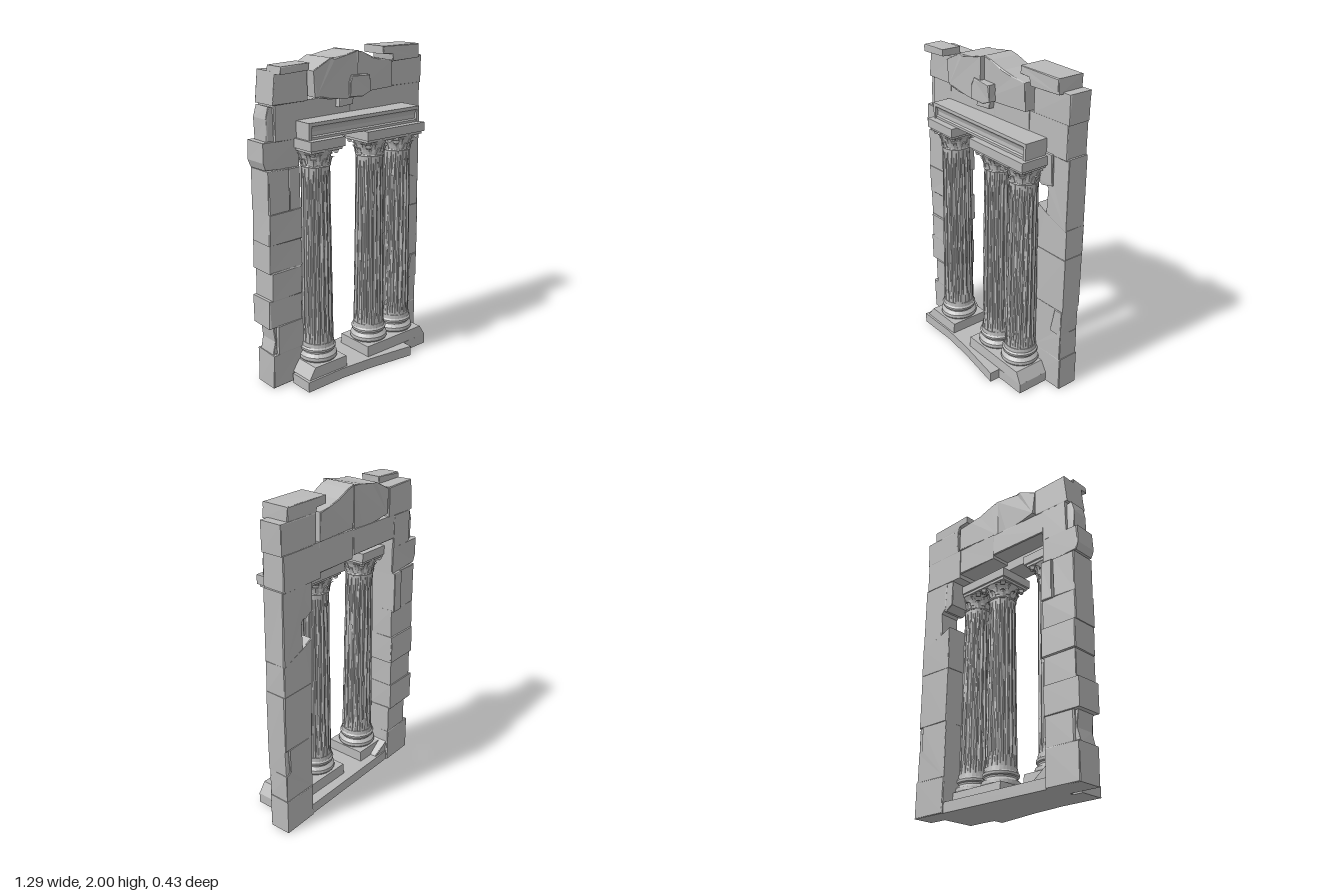
import * as THREE from 'three';

const stoneGrey = new THREE.MeshStandardMaterial({ color: 0xbababa, flatShading: true });
stoneGrey.name = 'stone grey';

function add(parent, geometry, name, x = 0, y = 0, z = 0) {
  const mesh = new THREE.Mesh(geometry, stoneGrey);
  mesh.name = name;
  mesh.position.set(x, y, z);
  parent.add(mesh);
  return mesh;
}

// Repeatable noise in -1..1; equal corners always move together
function noise(x, y, z, k) {
  const s = Math.sin(x * 127.1 + y * 311.7 + z * 74.7 + k * 53.3) * 4375.85;
  return (s - Math.floor(s)) * 2 - 1;
}

function moveVertices(geometry, rule) {
  const p = geometry.attributes.position;
  const v = new THREE.Vector3();
  for (let i = 0; i < p.count; i++) {
    rule(v.fromBufferAttribute(p, i));
    p.setXYZ(i, v.x, v.y, v.z);
  }
  geometry.computeVertexNormals();
  return geometry;
}

// Hewn stone: an outline in x/y given a depth, with worn edges and uneven corners
function hewn(parent, name, outline, z0, z1, bend = 0, rough = 0.003) {
  const b = 0.004;
  const shape = new THREE.Shape(outline.map(([x, y]) => new THREE.Vector2(x, y)));
  const g = new THREE.ExtrudeGeometry(shape, {
    depth: z1 - z0 - 2 * b, bevelEnabled: true, bevelSize: b, bevelThickness: b, bevelOffset: -b, bevelSegments: 1,
  });
  g.translate(0, 0, z0 + b);
  moveVertices(g, (v) => {
    const [a, c, d] = [v.x, v.y, v.z].map((n) => Math.round(n * 1000) / 1000);
    v.x += noise(a, c, d, 1) * rough;
    if (c > 0.01) v.y += noise(a, c, d, 2) * rough * 0.7;
    v.z += noise(a, c, d, 3) * rough - a * bend;
  });
  return add(parent, g, name);
}

const rect = (x0, x1, y0, y1) => [[x0, y0], [x1, y0], [x1, y1], [x0, y1]];

// Wall stones follow the slight skew of the wall
const wall = (parent, name, outline, z0 = -0.19, z1 = -0.04) => hewn(parent, name, outline, z0, z1, 0.035);

// Block whose left and right sides can splay out towards the bottom
function splayedBlock(w, h, d, left, right) {
  return moveVertices(new THREE.BoxGeometry(w, h, d), (v) => {
    if (v.y < 0) v.x += v.x < 0 ? -left : right;
    else v.z *= 0.96;
  });
}

// Leaf curling outward, standing against the bell of a capital
function leaf(width, height, curl) {
  return moveVertices(new THREE.BoxGeometry(width, height, 0.012, 2, 4, 1), (v) => {
    const t = v.y / height + 0.5;
    v.z += curl * t * t - Math.abs(v.x) * 0.3;
    v.x *= 1 - 0.55 * t * t;
    if (t > 0.99) v.y -= 0.012;
  });
}

function createColumn(name, seed, splayLeft, splayRight) {
  const column = new THREE.Group();
  column.name = name;
  add(column, splayedBlock(0.245, 0.07, 0.27, splayLeft, splayRight), 'plinth', 0, 0.1, 0);

  // Moulded base
  const base = [[0, 0.13], [0.112, 0.13], [0.12, 0.145], [0.118, 0.165], [0.108, 0.175], [0.098, 0.185],
    [0.1, 0.195], [0.11, 0.2], [0.112, 0.215], [0.103, 0.225], [0.1, 0.25], [0, 0.25]];
  add(column, new THREE.LatheGeometry(base.map(([r, y]) => new THREE.Vector2(r, y)), 28), 'mouldedBase');

  // Fluted and weathered shaft
  const steps = 18 * 4;
  const shaft = new THREE.CylinderGeometry(0.087, 0.099, 1.13, steps, 10);
  moveVertices(shaft, (v) => {
    const r = Math.hypot(v.x, v.z);
    if (r < 0.01) return;
    const step = Math.round((Math.atan2(v.z, v.x) / (Math.PI * 2)) * steps + steps) % steps;
    const end = Math.abs(v.y) > 0.55;
    const wear = noise(step, Math.round(v.y * 100), seed, 4) * 0.02;
    const k = end ? 0.98 : (step % 4 < 2 ? 0.985 + wear : 0.9 + wear * 0.5);
    v.x *= k;
    v.z *= k;
  });
  add(column, shaft, 'flutedShaft', 0, 0.8, 0);

  // Capital: collar, bell, two rows of leaves and corner scrolls
  const collar = add(column, new THREE.TorusGeometry(0.084, 0.008, 6, 28), 'collar', 0, 1.365, 0);
  collar.rotation.x = Math.PI / 2;
  const bell = [[0, 1.35], [0.084, 1.35], [0.085, 1.39], [0.093, 1.43], [0.112, 1.465], [0, 1.465]];
  add(column, new THREE.LatheGeometry(bell.map(([r, y]) => new THREE.Vector2(r, y)), 24), 'bell');
  for (let i = 0; i < 16; i++) {
    const upper = i % 2;
    const pivot = new THREE.Group();
    pivot.name = upper ? 'upperLeaf' : 'lowerLeaf';
    pivot.rotation.y = (i / 16) * Math.PI * 2;
    add(pivot, leaf(0.042, upper ? 0.07 : 0.06, upper ? 0.026 : 0.02), 'leaf', 0, upper ? 1.42 : 1.395, 0.085);
    column.add(pivot);
  }
  for (let i = 0; i < 4; i++) {
    const pivot = new THREE.Group();
    pivot.name = 'cornerScroll';
    pivot.rotation.y = Math.PI / 4 + (i * Math.PI) / 2;
    const scroll = add(pivot, new THREE.CylinderGeometry(0.015, 0.015, 0.03, 10), 'scroll', 0, 1.45, 0.122);
    scroll.rotation.z = Math.PI / 2;
    column.add(pivot);
  }
  add(column, new THREE.BoxGeometry(0.225, 0.02, 0.22), 'abacusUnderside', 0, 1.468, 0);
  add(column, new THREE.BoxGeometry(0.25, 0.056, 0.245), 'abacus', 0, 1.503, 0);
  return column;
}

export function createModel() {
  const model = new THREE.Group();
  model.name = 'ruinedColumnGateway';

  // Floor slab with a skewed front edge
  const plan = [[-0.485, 0.16], [-0.22, 0.155], [0, 0.172], [0.32, 0.217], [0.32, 0.15], [0.42, 0.14], [0.42, -0.195], [-0.42, -0.175], [-0.42, 0], [-0.485, 0]];
  const slab = new THREE.ExtrudeGeometry(new THREE.Shape(plan.map(([x, z]) => new THREE.Vector2(x, -z))), { depth: 0.066, bevelEnabled: false });
  slab.rotateX(-Math.PI / 2);
  add(model, slab, 'floorSlab');
  hewn(model, 'rubbleWedge', [[-0.4, 0.05], [-0.27, 0.05], [-0.29, 0.075], [-0.4, 0.15]], -0.17, -0.05);

  // Left pier, bottom to top: inner and outer x, bottom and top y, back z
  const leftPier = new THREE.Group();
  leftPier.name = 'leftPier';
  model.add(leftPier);
  [[-0.615, -0.385, 0, 0.222, -0.2], [-0.58, -0.385, 0.218, 0.405, -0.195], [-0.632, -0.39, 0.4, 0.577, -0.21],
    [-0.612, -0.39, 0.573, 0.752, -0.2], [-0.62, -0.38, 0.748, 0.927, -0.21], [-0.622, -0.385, 0.923, 1.112, -0.2],
    [-0.465, -0.385, 1.108, 1.362, -0.215], [-0.618, -0.467, 1.108, 1.365, -0.2], [-0.56, -0.385, 1.525, 1.737, -0.193]]
    .forEach(([x0, x1, y0, y1, back], i) => wall(leftPier, 'pierStone', rect(x0, x1, y0, y1), back, -0.035 + (i % 2) * 0.006));
  wall(leftPier, 'chippedStone', [[-0.61, 0.22], [-0.57, 0.22], [-0.57, 0.4], [-0.6, 0.4], [-0.59, 0.3]], -0.18, -0.05);
  wall(leftPier, 'overhangingStone', [[-0.63, 1.37], [-0.385, 1.355], [-0.385, 1.532], [-0.642, 1.532], [-0.648, 1.42]]);
  wall(leftPier, 'brokenStone', [[-0.605, 1.53], [-0.555, 1.53], [-0.55, 1.72], [-0.59, 1.73], [-0.61, 1.66]], -0.17, -0.05);
  wall(leftPier, 'topStone', [[-0.58, 1.735], [-0.33, 1.735], [-0.33, 1.915], [-0.56, 1.92]], -0.193, -0.02);
  hewn(leftPier, 'capStone', [[-0.562, 1.905], [-0.36, 1.915], [-0.358, 1.96], [-0.555, 1.95]], -0.08, 0.052);

  // Right pier, with a bite broken from its inner side
  const rightPier = new THREE.Group();
  rightPier.name = 'rightPier';
  model.add(rightPier);
  wall(rightPier, 'footStone', rect(0.4, 0.635, 0, 0.222), -0.188, -0.047);
  wall(rightPier, 'pierStone', [[0.4, 0.218], [0.632, 0.218], [0.632, 0.4], [0.6, 0.42], [0.61, 0.572], [0.4, 0.572]], -0.185, -0.047);
  wall(rightPier, 'chippedStone', [[0.545, 0.4], [0.632, 0.4], [0.635, 0.57], [0.58, 0.57]], -0.18, -0.042);
  wall(rightPier, 'pierStone', rect(0.4, 0.638, 0.568, 0.927), -0.186, -0.045);
  wall(rightPier, 'slopingStone', [[0.4, 0.923], [0.636, 0.923], [0.636, 1.115], [0.46, 1.18], [0.4, 1.21]], -0.186, -0.047);
  wall(rightPier, 'upperStone', [[0.47, 1.17], [0.636, 1.105], [0.636, 1.55], [0.44, 1.55], [0.45, 1.36], [0.48, 1.33]], -0.186, -0.045);
  wall(rightPier, 'innerStone', [[0.385, 1.37], [0.44, 1.34], [0.52, 1.36], [0.52, 1.55], [0.385, 1.55]], -0.182, -0.035);
  wall(rightPier, 'topStone', rect(0.35, 0.632, 1.745, 1.92), -0.188, -0.04);
  hewn(rightPier, 'capStone', [[0.35, 1.9], [0.575, 1.91], [0.575, 1.995], [0.27, 2], [0.265, 1.95], [0.34, 1.945]], -0.2, -0.025);

  // Lintel course
  const lintel = new THREE.Group();
  lintel.name = 'lintel';
  model.add(lintel);
  wall(lintel, 'lintelStone', rect(-0.4, 0.02, 1.59, 1.74));
  wall(lintel, 'lintelStone', rect(0.018, 0.32, 1.57, 1.75), -0.186);
  wall(lintel, 'lintelStone', rect(0.318, 0.622, 1.54, 1.75), -0.19);
  wall(lintel, 'wedgeStone', [[-0.1, 1.675], [0.01, 1.68], [0.02, 1.74], [-0.09, 1.74]], -0.15, -0.005);

  // Broken pediment
  const pediment = new THREE.Group();
  pediment.name = 'brokenPediment';
  model.add(pediment);
  hewn(pediment, 'leftPedimentStone', [[-0.31, 1.76], [-0.21, 1.74], [-0.08, 1.728], [0, 1.735], [0, 1.998], [-0.08, 1.985], [-0.17, 1.968], [-0.2, 1.97], [-0.325, 1.91]], -0.178, 0.045, 0, 0.006);
  hewn(pediment, 'rightPedimentStone', [[0, 1.745], [0.325, 1.75], [0.325, 1.915], [0.23, 1.93], [0.15, 1.948], [0.06, 1.985], [0, 1.998]], -0.176, 0.02, 0.09);
  hewn(pediment, 'looseStone', [[-0.07, 1.735], [0.03, 1.73], [0.095, 1.755], [0.09, 1.855], [-0.05, 1.862], [-0.07, 1.82]], -0.05, 0.058);

  // Moulded beam across the columns
  const profile = [[-0.06, 1.53], [0.09, 1.53], [0.09, 1.545], [0.08, 1.552], [0.078, 1.575], [0.085, 1.595], [0.097, 1.61], [0.097, 1.63], [-0.06, 1.63]];
  const beam = new THREE.ExtrudeGeometry(new THREE.Shape(profile.map(([z, y]) => new THREE.Vector2(-z, y))), { depth: 0.86, bevelEnabled: false });
  beam.rotateY(Math.PI / 2);
  add(model, beam, 'mouldedBeam', -0.4, 0, 0);
  for (const x of [-0.395, 0.455]) add(model, new THREE.BoxGeometry(0.02, 0.1, 0.155), 'beamEnd', x, 1.58, 0.019);

  // Columns; the outer plinths splay towards the piers
  [['leftColumn', -0.295, 0.05, 0], ['middleColumn', 0.13, 0, 0], ['rightColumn', 0.356, 0, 0.042]].forEach(([name, x, left, right], i) => {
    const column = createColumn(name, i + 1, left, right);
    column.position.set(x, 0, 0.01);
    model.add(column);
  });
  add(model, new THREE.BoxGeometry(0.25, 0.066, 0.27), 'cornerPedestal', 0.395, 0.033, 0.01);
  return model;
}
